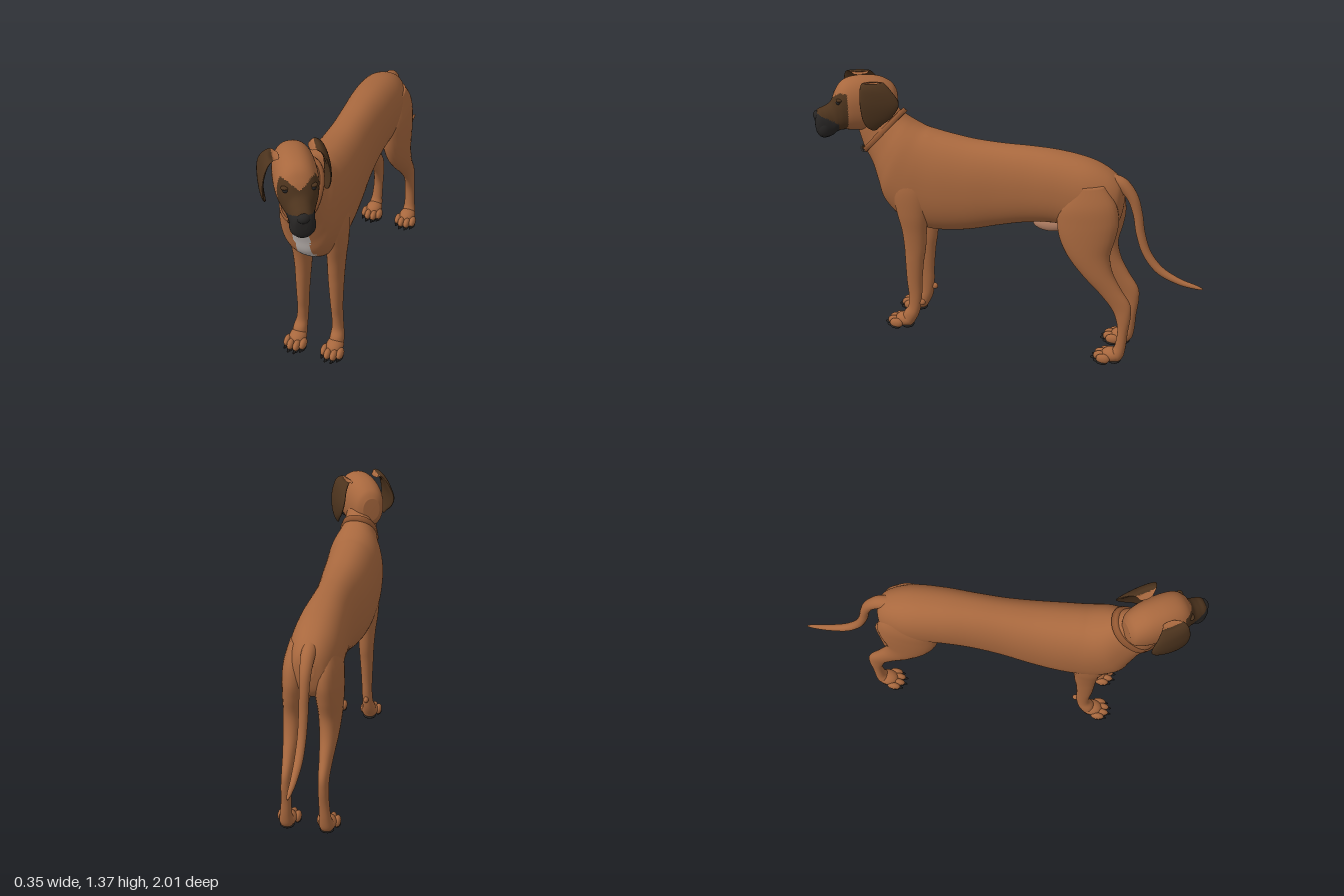
import * as THREE from 'three';

const mat = (name, color) => {
  const m = new THREE.MeshStandardMaterial({ color });
  m.name = name;
  return m;
};
const fur = mat('tan fur', 0xa8683e);
const mask = mat('dark brown mask', 0x4c331d);
const black = mat('black muzzle and pads', 0x272524);
const white = mat('pale chest', 0xc2bab6);
const skin = mat('pink skin', 0xb98468);
const leather = mat('collar leather', 0x985b34);
const metal = mat('buckle metal', 0x77706a);

const catmull = (a, b, c, d, t) =>
  0.5 * (2 * b + (c - a) * t + (2 * a - 5 * b + 4 * c - d) * t * t + (3 * b - a - 3 * c + d) * t * t * t);

// Skins a row of oval rings. Ring: [z, y of one end, z, y of the other end, half width, centre x].
// rule(x, y, z, s) picks the material index, s is -1..1 across the ring.
function loft(name, rings, mats, { segs = 28, sub = 6, power = 1, rule = () => 0, smooth = true } = {}) {
  const rows = [];
  const at = (i) => rings[Math.min(Math.max(i, 0), rings.length - 1)];
  for (let i = 0; i < rings.length - 1; i++) {
    const n = smooth ? sub : 1;
    for (let k = 0; k < n; k++) {
      rows.push(rings[0].map((_, c) => catmull(at(i - 1)[c], at(i)[c], at(i + 1)[c], at(i + 2)[c], k / n)));
    }
  }
  rows.push(rings[rings.length - 1]);
  const pos = [];
  const pw = (v) => Math.sign(v) * Math.pow(Math.abs(v), power);
  for (const [tz, ty, bz, by, w, cx = 0] of rows) {
    for (let j = 0; j < segs; j++) {
      const a = (j / segs) * Math.PI * 2, c = pw(Math.cos(a)), s = pw(Math.sin(a));
      pos.push(cx + w * c, (ty + by) / 2 + (s * (ty - by)) / 2, (tz + bz) / 2 + (s * (tz - bz)) / 2);
    }
  }
  const buckets = mats.map(() => []);
  const put = (a, b, c, s) => {
    const mid = [0, 1, 2].map((k) => (pos[a * 3 + k] + pos[b * 3 + k] + pos[c * 3 + k]) / 3);
    buckets[rule(...mid, s)].push(a, b, c);
  };
  for (let i = 0; i < rows.length - 1; i++) {
    for (let j = 0; j < segs; j++) {
      const a = i * segs + j, b = i * segs + ((j + 1) % segs), s = Math.sin(((j + 0.5) / segs) * Math.PI * 2);
      put(a, b, a + segs, s);
      put(b, b + segs, a + segs, s);
    }
  }
  // end caps
  [0, rows.length - 1].forEach((i, end) => {
    const [tz, ty, bz, by, , cx = 0] = rows[i];
    const centre = pos.length / 3;
    pos.push(cx, (ty + by) / 2, (tz + bz) / 2);
    for (let j = 0; j < segs; j++) {
      const a = i * segs + j, b = i * segs + ((j + 1) % segs);
      if (end) put(centre, a, b, 0);
      else put(centre, b, a, 0);
    }
  });
  const g = new THREE.BufferGeometry();
  g.setAttribute('position', new THREE.Float32BufferAttribute(pos, 3));
  g.setIndex(buckets.flat());
  let start = 0;
  buckets.forEach((b, k) => {
    g.addGroup(start, b.length, k);
    start += b.length;
  });
  g.computeVertexNormals();
  const mesh = new THREE.Mesh(g, mats);
  mesh.name = name;
  return mesh;
}

function blob(name, m, x, y, z, rx, ry, rz) {
  const mesh = new THREE.Mesh(new THREE.SphereGeometry(1, 20, 14), m);
  mesh.position.set(x, y, z);
  mesh.scale.set(rx, ry, rz);
  mesh.name = name;
  return mesh;
}

// Paw with four toes, claws and pads; z is the heel
function paw(x, z) {
  const g = new THREE.Group();
  g.name = 'paw';
  g.add(blob('pawBody', fur, 0, 0.045, 0.035, 0.044, 0.038, 0.055));
  g.add(blob('heelPad', black, 0, 0.014, 0.022, 0.036, 0.014, 0.034));
  for (const [tx, tz] of [[-0.042, 0.072], [-0.016, 0.093], [0.016, 0.093], [0.042, 0.072]]) {
    g.add(blob('toe', fur, tx, 0.033, tz, 0.018, 0.027, 0.036));
    g.add(blob('toePad', black, tx, 0.012, tz + 0.005, 0.016, 0.012, 0.03));
    g.add(blob('claw', black, tx, 0.018, tz + 0.035, 0.006, 0.009, 0.016));
  }
  g.position.set(x, 0, z);
  return g;
}

function makeHead() {
  const head = new THREE.Group();
  head.name = 'head';
  // skull and muzzle: [z, half width, top, bottom]
  const profile = [
    [-0.135, 0.045, 0.05, -0.07], [-0.11, 0.075, 0.09, -0.11], [-0.05, 0.094, 0.124, -0.14],
    [0.03, 0.1, 0.136, -0.148], [0.1, 0.097, 0.13, -0.142], [0.145, 0.087, 0.108, -0.138],
    [0.175, 0.072, 0.066, -0.145], [0.2, 0.06, 0.012, -0.164], [0.235, 0.056, -0.012, -0.176],
    [0.262, 0.051, -0.022, -0.17], [0.28, 0.038, -0.04, -0.145], [0.286, 0.015, -0.065, -0.11],
  ];
  const rule = (x, y, z) => {
    if (z > 0.17 && y < -0.075 + (z - 0.2) * 0.5) return 2;
    const brow = 0.03 + Math.min(Math.abs(x), 0.055) * 0.75;
    return z > 0.125 + Math.max(0, -y - 0.1) * 0.5 && y < brow ? 1 : 0;
  };
  head.add(loft('skullAndMuzzle', profile.map(([z, w, t, b]) => [z, t, z, b, w, 0]), [fur, mask, black],
    { segs: 64, sub: 9, power: 0.9, rule }));
  head.add(blob('nose', black, 0, -0.055, 0.272, 0.03, 0.025, 0.022));
  for (const s of [-1, 1]) {
    head.add(blob('eye', black, s * 0.06, 0.026, 0.167, 0.015, 0.012, 0.014));
    head.add(blob('upperLid', mask, s * 0.061, 0.036, 0.163, 0.02, 0.009, 0.016));
    head.add(blob('upperLip', black, s * 0.028, -0.115, 0.238, 0.031, 0.05, 0.04));
    // hanging ear flap
    const ear = loft('ear', [
      [0.05, 0.118, -0.02, 0.118, 0.012, s * 0.08], [0.075, 0.132, -0.035, 0.125, 0.016, s * 0.102],
      [0.09, 0.112, -0.065, 0.09, 0.015, s * 0.128], [0.096, 0.06, -0.096, 0.04, 0.013, s * 0.146],
      [0.094, 0.01, -0.09, 0, 0.012, s * 0.153], [0.085, -0.045, -0.055, -0.045, 0.011, s * 0.152],
      [0.065, -0.085, -0.01, -0.08, 0.009, s * 0.146], [0.04, -0.106, 0.015, -0.104, 0.005, s * 0.14],
    ], [fur, mask], { rule: (x) => (Math.abs(x) > 0.098 ? 1 : 0) });
    ear.position.z = s > 0 ? -0.025 : 0.02;
    head.add(ear);
  }
  head.position.set(0, 1.23, 0.75);
  head.rotation.y = THREE.MathUtils.degToRad(31);
  return head;
}

export function createModel() {
  const dog = new THREE.Group();
  dog.name = 'dog';

  // trunk from rump to neck
  dog.add(loft('trunk', [
    [-0.58, 0.92, -0.58, 0.84, 0.03], [-0.56, 0.97, -0.56, 0.75, 0.075], [-0.5, 1.02, -0.5, 0.7, 0.108],
    [-0.4, 1.06, -0.4, 0.69, 0.128], [-0.25, 1.083, -0.25, 0.705, 0.126], [-0.1, 1.087, -0.1, 0.685, 0.12],
    [0.05, 1.083, 0.05, 0.645, 0.122], [0.2, 1.085, 0.2, 0.6, 0.135], [0.34, 1.1, 0.33, 0.575, 0.146],
    [0.42, 1.113, 0.45, 0.572, 0.15], [0.46, 1.12, 0.57, 0.605, 0.152], [0.5, 1.135, 0.67, 0.7, 0.146],
    [0.53, 1.15, 0.705, 0.8, 0.13], [0.56, 1.168, 0.74, 0.9, 0.106], [0.59, 1.19, 0.785, 0.98, 0.088],
    [0.64, 1.23, 0.805, 1.04, 0.08], [0.68, 1.27, 0.82, 1.09, 0.072],
  ], [fur, white], {
    segs: 72, sub: 7, power: 0.9,
    rule: (x, y, z, s) => {
      const half = 0.04 + 0.005 * Math.sin(y * 40) * (z > 0.45 ? 1 : 0);
      return s < -0.7 && Math.abs(x - 0.005) < half && z > -0.22 && y < 0.96 ? 1 : 0;
    },
  }));
  dog.add(blob('sheath', skin, 0, 0.683, -0.2, 0.026, 0.042, 0.085));

  // tail: [z, y, radius], rings set square to the path
  const path = [[-0.5, 0.97, 0.036], [-0.57, 0.952, 0.034], [-0.625, 0.89, 0.028], [-0.655, 0.8, 0.024],
    [-0.673, 0.7, 0.023], [-0.71, 0.595, 0.022], [-0.78, 0.51, 0.021], [-0.88, 0.463, 0.016],
    [-0.96, 0.447, 0.011], [-1, 0.44, 0.004]];
  dog.add(loft('tail', path.map(([z, y, r], i) => {
    const p = path[Math.max(i - 1, 0)], n = path[Math.min(i + 1, path.length - 1)];
    const l = Math.hypot(n[0] - p[0], n[1] - p[1]), dz = ((n[0] - p[0]) / l) * r, dy = ((n[1] - p[1]) / l) * r;
    return [z - dy, y + dz, z + dy, y - dz, r, 0];
  }), [fur], { segs: 18 }));

  // legs
  for (const s of [-1, 1]) {
    const legs = new THREE.Group();
    legs.name = s > 0 ? 'leftLegs' : 'rightLegs';
    const side = (rings) => rings.map((r) => [...r.slice(0, 5), s * r[5]]);
    legs.add(loft('frontLeg', side([
      [0.55, 0.95, 0.43, 0.97, 0.03, 0.085], [0.605, 0.82, 0.4, 0.84, 0.054, 0.092],
      [0.585, 0.69, 0.415, 0.69, 0.052, 0.095], [0.562, 0.58, 0.428, 0.58, 0.045, 0.09],
      [0.553, 0.48, 0.437, 0.48, 0.04, 0.087], [0.55, 0.4, 0.45, 0.4, 0.036, 0.088],
      [0.545, 0.28, 0.462, 0.28, 0.03, 0.09], [0.537, 0.2, 0.465, 0.2, 0.028, 0.092],
      [0.54, 0.13, 0.472, 0.13, 0.029, 0.096], [0.565, 0.09, 0.485, 0.08, 0.035, 0.1],
      [0.575, 0.05, 0.508, 0.035, 0.038, 0.1], [0.57, 0.025, 0.52, 0.018, 0.03, 0.1],
    ]), [fur], { power: 0.95 }));
    legs.add(blob('wristPad', fur, s * 0.093, 0.158, 0.464, 0.014, 0.018, 0.018));
    legs.add(paw(s * 0.1, 0.525));
    legs.add(loft('hindLeg', side([
      [-0.33, 0.95, -0.5, 0.97, 0.04, 0.07], [-0.275, 0.84, -0.56, 0.88, 0.064, 0.074],
      [-0.268, 0.75, -0.58, 0.79, 0.069, 0.076], [-0.285, 0.66, -0.568, 0.7, 0.064, 0.082],
      [-0.33, 0.57, -0.545, 0.6, 0.056, 0.087], [-0.41, 0.475, -0.56, 0.51, 0.046, 0.09],
      [-0.5, 0.385, -0.605, 0.425, 0.034, 0.09], [-0.565, 0.305, -0.657, 0.345, 0.027, 0.09],
      [-0.592, 0.24, -0.664, 0.275, 0.026, 0.092], [-0.6, 0.18, -0.653, 0.18, 0.026, 0.094],
      [-0.59, 0.1, -0.647, 0.1, 0.029, 0.098], [-0.568, 0.06, -0.638, 0.045, 0.036, 0.1],
      [-0.57, 0.025, -0.622, 0.018, 0.03, 0.1],
    ]), [fur], { power: 0.95 }));
    legs.add(paw(s * 0.1, -0.612));
    legs.position.x = 0.008;
    dog.add(legs);
  }

  // collar band and buckle
  const band = (t, grow) => [0.567 + t - grow, 1.178 + t + grow, 0.767 + t + grow, 0.957 + t - grow, 0.094 + grow - t * 0.4, 0];
  dog.add(loft('collar', [band(0, -0.01), band(0.002, 0.008), band(0.02, 0.008), band(0.022, -0.01)],
    [leather], { segs: 48, smooth: false, power: 0.9 }));
  const buckle = new THREE.Mesh(new THREE.TorusGeometry(0.017, 0.004, 8, 20), metal);
  buckle.name = 'buckle';
  buckle.position.set(0.035, 0.975, 0.79);
  buckle.rotation.x = 0.4;
  const clasp = new THREE.Mesh(new THREE.BoxGeometry(0.045, 0.026, 0.014), mask);
  clasp.name = 'clasp';
  clasp.position.set(0.005, 0.972, 0.79);
  clasp.rotation.x = 0.6;
  dog.add(buckle, clasp);

  dog.add(makeHead());
  return dog;
}
